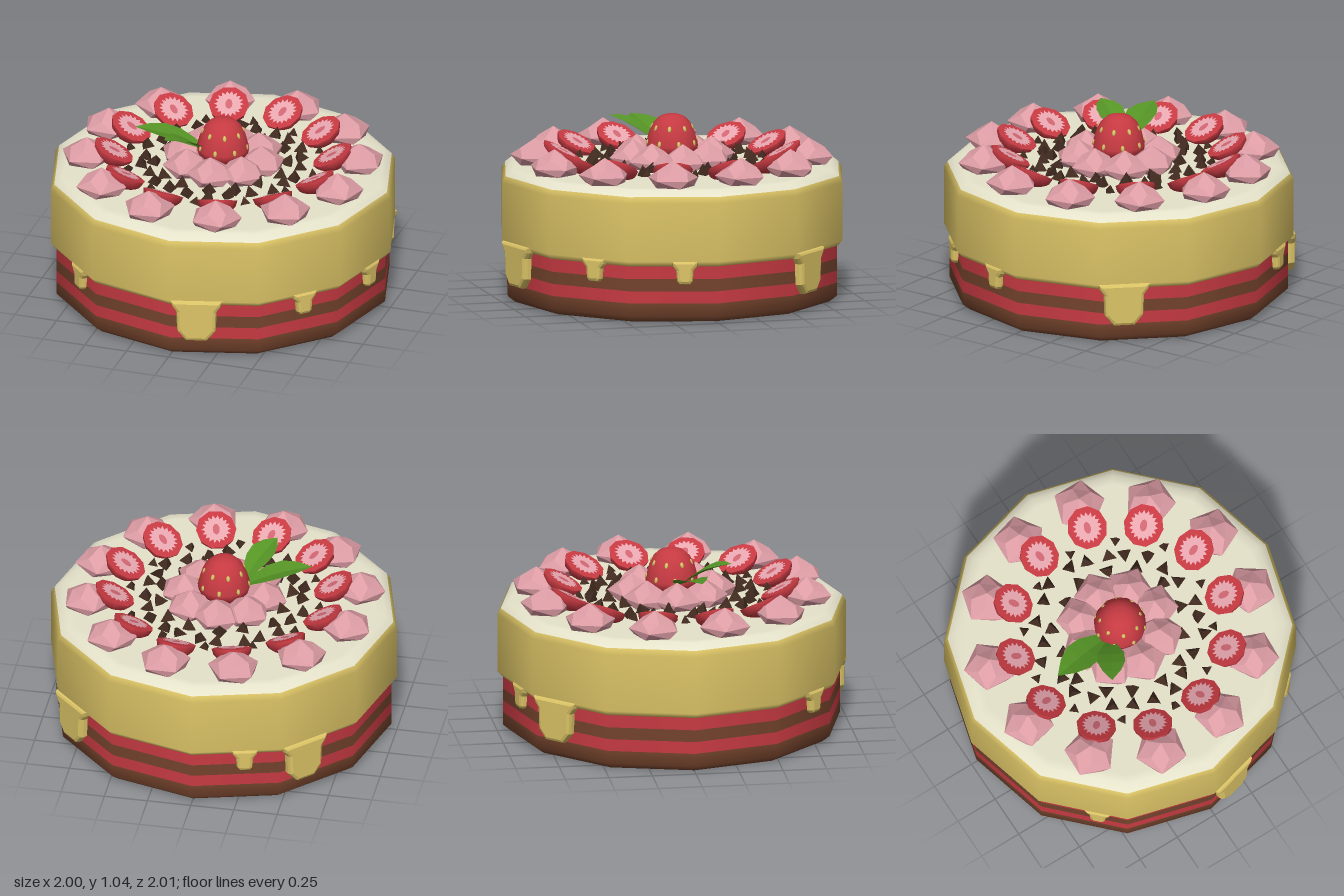
import * as THREE from 'three';

const mat = (name, color, extra = {}) => {
  const m = new THREE.MeshStandardMaterial({ color, ...extra });
  m.name = name;
  return m;
};
const rad = THREE.MathUtils.degToRad;
const v2 = (pts) => pts.map(([x, y]) => new THREE.Vector2(x, y));

export function createModel() {
  const M = {
    icing: mat('yellow icing', 0xdcc466),
    cream: mat('white cream', 0xe6e3cb),
    red: mat('strawberry red', 0xc73a42),
    brown: mat('sponge brown', 0x74432c),
    pink: mat('pink meringue', 0xdc9ca4, { flatShading: true }),
    flesh: mat('pale strawberry flesh', 0xeba9b2),
    core: mat('strawberry core', 0xcf6672),
    chocolate: mat('dark chocolate', 0x422b20, { flatShading: true }),
    leaf: mat('leaf green', 0x559425, { flatShading: true, side: THREE.DoubleSide }),
  };
  const root = new THREE.Group();
  root.name = 'cake';
  const add = (parent, name, geo, material) => {
    const mesh = new THREE.Mesh(geo, material);
    mesh.name = name;
    parent.add(mesh);
    return mesh;
  };
  const group = (name, parent = root) => {
    const g = new THREE.Group();
    g.name = name;
    parent.add(g);
    return g;
  };
  let seed = 7;
  const rnd = () => (seed = (seed * 16807) % 2147483647) / 2147483647;

  // Twelve-sided cake body, profiles run from bottom to top
  const ring = (name, pts, m) => add(root, name, new THREE.LatheGeometry(v2(pts), 12), m);
  ring('bottomSponge', [[0, 0], [0.925, 0], [0.968, 0.035], [0.968, 0.11]], M.brown);
  ring('lowerFilling', [[0.968, 0.11], [0.968, 0.18]], M.red);
  ring('middleSponge', [[0.968, 0.18], [0.968, 0.25]], M.brown);
  ring('upperFilling', [[0.968, 0.25], [0.968, 0.34]], M.red);
  ring('icingSide', [[0.955, 0.325], [0.975, 0.325], [1, 0.355], [1, 0.69], [0.98, 0.725]], M.icing);
  ring('creamTop', [[0.98, 0.725], [0.935, 0.76], [0.88, 0.76], [0, 0.76]], M.cream);

  // Icing drips lying on the side facets
  const dripGeo = (half, depth) => {
    const outline = [...half, ...half.slice().reverse().map(([x, y]) => [-x, y])];
    return new THREE.ExtrudeGeometry(new THREE.Shape(v2(outline)), {
      depth, bevelEnabled: true, bevelThickness: 0.025, bevelSize: 0.02, bevelOffset: -0.02, bevelSegments: 2,
    });
  };
  const bigDrip = dripGeo([[-0.15, 0.36], [-0.14, 0.325], [-0.115, 0.29], [-0.11, 0.17], [-0.06, 0.11]], 0.06);
  const smallDrip = dripGeo([[-0.08, 0.36], [-0.07, 0.325], [-0.05, 0.3], [-0.045, 0.24], [-0.03, 0.222]], 0.05);
  const drips = group('icingDrips');
  // [facet angle, drip angle, is big]
  [[75, 81, 1], [-45, -38, 1], [-135, -129, 1], [45, 43, 0], [15, 11, 0], [-105, -108, 0], [135, 130, 0]]
    .forEach(([facet, at, big]) => {
      const pivot = group('dripPivot', drips);
      pivot.rotation.y = rad(90 - facet);
      const d = add(pivot, big ? 'bigDrip' : 'smallDrip', big ? bigDrip : smallDrip, M.icing);
      d.position.set(-Math.tan(rad(at - facet)) * 0.95, 0, 0.9);
    });

  // Pointed low-poly meringue with twisted tiers
  const meringueGeo = (r, h) => {
    const tiers = [[0.8, -0.01, 0], [1, 0.3, 0.25], [0.6, 0.62, 0.75], [0, 1, 0]];
    const sides = 5, pos = [], idx = [];
    tiers.forEach(([s, y, twist]) => {
      for (let i = 0; i < sides; i++) {
        const a = (i / sides) * Math.PI * 2 + twist;
        pos.push(Math.sin(a) * s * r, y * h, Math.cos(a) * s * r);
      }
    });
    for (let t = 0; t < 3; t++) for (let i = 0; i < sides; i++) {
      const j = (i + 1) % sides, a = t * sides + i, b = t * sides + j;
      idx.push(a, b, a + sides, b, b + sides, a + sides);
    }
    const g = new THREE.BufferGeometry();
    g.setAttribute('position', new THREE.Float32BufferAttribute(pos, 3));
    g.setIndex(idx);
    g.computeVertexNormals();
    return g;
  };
  const meringue = meringueGeo(0.15, 0.145);
  const meringues = group('meringues');
  const putMeringue = (a, r, s) => {
    const m = add(meringues, 'meringue', meringue, M.pink);
    m.position.set(Math.sin(a) * r, 0.76, Math.cos(a) * r);
    m.rotation.y = a + rnd() * 1.2;
    m.scale.set(s, 1, s);
  };
  for (let i = 0; i < 12; i++) putMeringue(rad(15 + i * 30), 0.775, 1);
  for (let i = 0; i < 8; i++) putMeringue(rad(i * 45), 0.23, 0.93);

  // Halved strawberries, cut faces leaning toward the centre
  const half = new THREE.SphereGeometry(0.115, 10, 4, 0, Math.PI * 2, Math.PI / 2, Math.PI / 2).scale(1, 0.75, 1.08);
  const flat = (g) => g.rotateX(-Math.PI / 2).scale(1, 1, 1.08);
  const cut = flat(new THREE.CircleGeometry(0.115, 10));
  const coreDisc = flat(new THREE.CircleGeometry(0.036, 10));
  const star = [];
  for (let i = 0; i < 36; i++) {
    const a = (i / 36) * Math.PI * 2, r = i % 2 ? 0.064 : 0.084;
    star.push([Math.cos(a) * r, Math.sin(a) * r]);
  }
  const fleshShape = new THREE.Shape(v2(star));
  fleshShape.holes.push(new THREE.Path().absellipse(0, 0, 0.02, 0.032, 0, Math.PI * 2, true));
  const fleshRing = flat(new THREE.ShapeGeometry(fleshShape, 6));
  const slices = group('strawberryHalves');
  for (let i = 0; i < 12; i++) {
    const pivot = group('halfPivot', slices);
    pivot.rotation.y = rad(15 + i * 30);
    const s = group('strawberryHalf', pivot);
    s.position.set(0, 0.83, 0.62);
    s.rotation.x = -0.48;
    add(s, 'skin', half, M.red);
    add(s, 'cutFace', cut, M.red);
    add(s, 'core', coreDisc, M.core).position.y = 0.003;
    add(s, 'flesh', fleshRing, M.flesh).position.y = 0.005;
  }

  // Chocolate chips scattered in rings
  const chip = new THREE.ConeGeometry(0.052, 0.07, 3);
  const chips = group('chocolateChips');
  [[0.54, 12, 0, 0.65], [0.455, 24, 7.5, 0.95], [0.37, 14, 5, 1]].forEach(([r, n, start, size]) => {
    for (let i = 0; i < n; i++) {
      const a = rad(start + (i * 360) / n) + (rnd() - 0.5) * 0.08;
      const rr = r + (rnd() - 0.5) * 0.05;
      const c = add(chips, 'chip', chip, M.chocolate);
      c.position.set(Math.sin(a) * rr, 0.79, Math.cos(a) * rr);
      c.rotation.set((rnd() - 0.5) * 0.6, rnd() * 6.28, (rnd() - 0.5) * 0.6);
      c.scale.setScalar(size);
    }
  });

  // Whole strawberry in the centre, with seeds
  const berry = group('centreStrawberry');
  add(berry, 'berry', new THREE.LatheGeometry(v2([[0, 0.77], [0.1, 0.785], [0.145, 0.835], [0.15, 0.87],
    [0.132, 0.94], [0.105, 0.995], [0.07, 1.028], [0.035, 1.04], [0, 1.042]]), 14), M.red);
  const seedGeo = new THREE.SphereGeometry(1, 6, 4).scale(0.012, 0.018, 0.006);
  [[0.97, 0.117, 0.4, 0], [0.885, 0.146, 0.2, 0.5]].forEach(([y, r, tilt, shift]) => {
    for (let i = 0; i < 8; i++) {
      const pivot = group('seedPivot', berry);
      pivot.rotation.y = ((i + shift + 0.5) / 8) * Math.PI * 2;
      const s = add(pivot, 'seed', seedGeo, M.icing);
      s.position.set(0, y, r);
      s.rotation.x = -tilt;
    }
  });

  // Leaves: folded along the midrib, arching from base to tip
  const leafGeo = (base, tip, width) => {
    const b = new THREE.Vector3(...base), t = new THREE.Vector3(...tip);
    const side = new THREE.Vector3(0, 1, 0).cross(t.clone().sub(b)).normalize();
    const widths = [0.08, 0.6, 0.95, 1, 0.65, 0], pos = [], idx = [];
    widths.forEach((w, i) => {
      const k = i / 5, p = b.clone().lerp(t, k);
      p.y += Math.sin(k * Math.PI) * 0.02;
      [-1, 0, 1].forEach((e) => {
        const q = p.clone().addScaledVector(side, (e * w * width) / 2);
        pos.push(q.x, q.y + Math.abs(e) * w * 0.02, q.z);
      });
      if (i) for (let c = 0; c < 2; c++) {
        const o = (i - 1) * 3 + c;
        idx.push(o, o + 3, o + 1, o + 1, o + 3, o + 4);
      }
    });
    const g = new THREE.BufferGeometry();
    g.setAttribute('position', new THREE.Float32BufferAttribute(pos, 3));
    g.setIndex(idx);
    g.computeVertexNormals();
    return g;
  };
  add(root, 'longLeaf', leafGeo([-0.08, 0.84, 0.02], [-0.49, 0.97, 0.11], 0.18), M.leaf);
  add(root, 'shortLeaf', leafGeo([-0.1, 0.86, 0.05], [-0.25, 1.01, 0.31], 0.16), M.leaf);

  return root;
}
